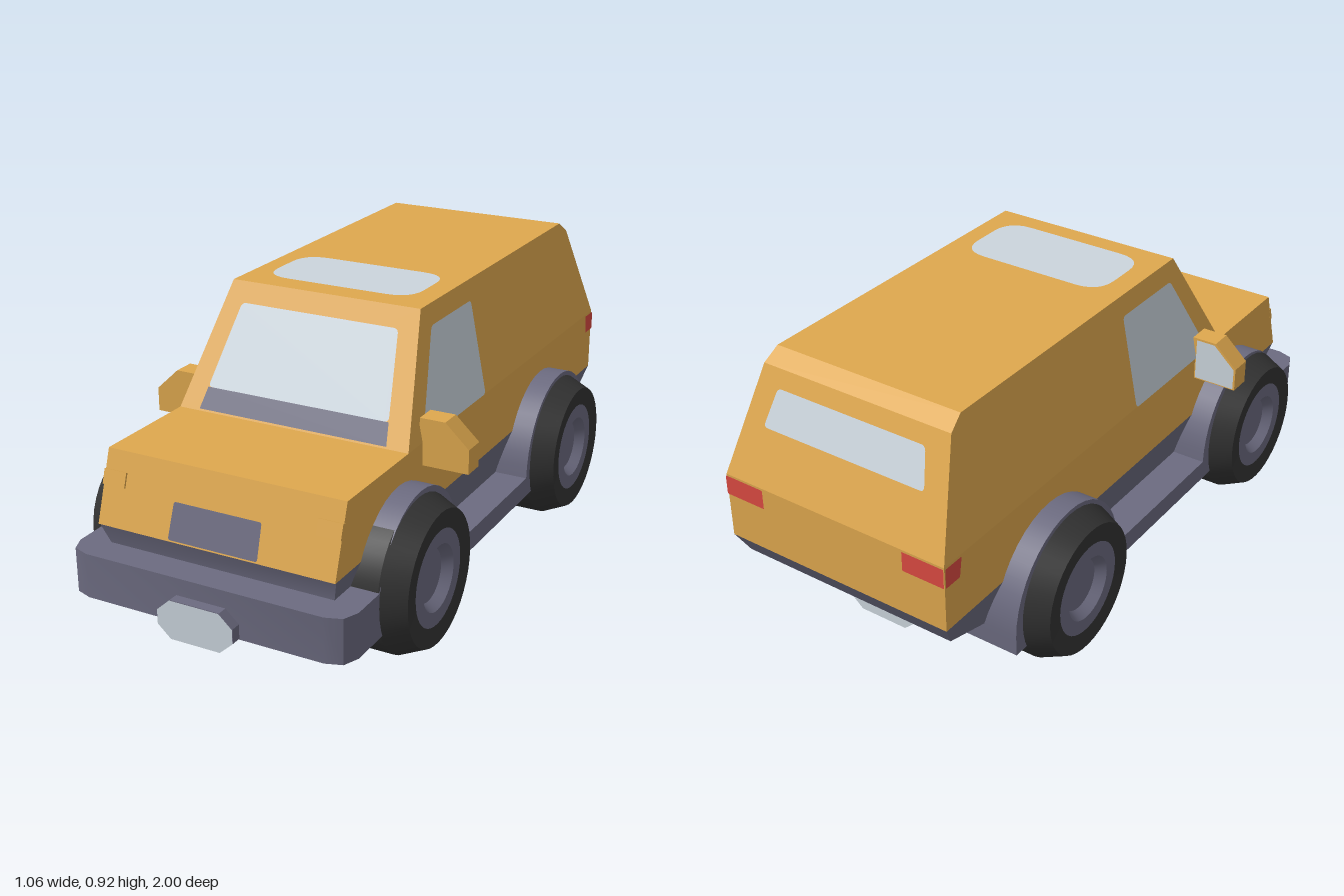
import * as THREE from 'three';
import { toCreasedNormals } from 'three/addons/utils/BufferGeometryUtils.js';

const material = (name, color) => {
  const m = new THREE.MeshStandardMaterial({ color });
  m.name = name;
  return m;
};

export function createModel() {
  const orange = material('orange paint', 0xdfa84e);
  const grey = material('grey trim', 0x6c6b80);
  const glass = material('pale glass', 0xcbd5dd);
  const black = material('tyre black', 0x333333);
  const red = material('lamp red', 0xdb4a42);

  const car = new THREE.Group();
  car.name = 'car';
  const add = (name, geometry, mat, parent = car) => {
    const mesh = new THREE.Mesh(geometry, mat);
    mesh.name = name;
    parent.add(mesh);
    return mesh;
  };
  const shapeOf = (pts) => new THREE.Shape(pts.map(([x, y]) => new THREE.Vector2(x, y)));
  const extrude = (shape, depth) => new THREE.ExtrudeGeometry(shape, { depth, bevelEnabled: false });

  // Side profile of (z, y) points spread across x to a half width that depends on y
  const slab = (name, profile, halfWidth, mat) => {
    const g = extrude(shapeOf(profile), 2).translate(0, 0, -1).rotateY(-Math.PI / 2);
    const p = g.attributes.position;
    for (let i = 0; i < p.count; i++) p.setX(i, Math.sign(p.getX(i)) * halfWidth(p.getY(i)));
    return add(name, toCreasedNormals(g, 0.5), mat);
  };

  // Flat face with rounded corners laid just above a surface; corners run anticlockwise from outside
  const plate = (name, corners, radius, mat, lift = 0.004) => {
    const v = corners.map((c) => new THREE.Vector3(...c));
    const u = v[1].clone().sub(v[0]).normalize();
    const n = u.clone().cross(v[2].clone().sub(v[0])).normalize();
    const w = n.clone().cross(u);
    const flat = v.map((q) => {
      const d = q.clone().sub(v[0]);
      return new THREE.Vector2(d.dot(u), d.dot(w));
    });
    const shape = new THREE.Shape();
    flat.forEach((c, i) => {
      const toward = (o) => c.clone().add(o.clone().sub(c).setLength(radius));
      const a = toward(flat[(i + flat.length - 1) % flat.length]);
      const b = toward(flat[(i + 1) % flat.length]);
      if (i) shape.lineTo(a.x, a.y);
      else shape.moveTo(a.x, a.y);
      shape.quadraticCurveTo(c.x, c.y, b.x, b.y);
    });
    shape.closePath();
    const origin = v[0].clone().addScaledVector(n, lift);
    const basis = new THREE.Matrix4().makeBasis(u, w, n).setPosition(origin);
    return add(name, new THREE.ShapeGeometry(shape, 6).applyMatrix4(basis), mat);
  };
  const bothSides = (name, corners, radius, mat) => {
    plate('left ' + name, corners, radius, mat);
    plate('right ' + name, corners.map(([x, y, z]) => [-x, y, z]).reverse(), radius, mat);
  };

  // Slopes of the bodywork
  const cabinX = (y) => 0.385 - (y - 0.56) * 0.197;
  const screenZ = (y) => 0.475 - (y - 0.56) * 0.592;
  const rearZ = (y) => -1 + (y - 0.56) * 0.406;
  const noseZ = (y) => 0.9 - (y - 0.35) * 0.333;

  // Painted body and cabin
  slab('lower body', [[0.9, 0.35], [0.83, 0.56], [-1, 0.56], [-1, 0.35]], () => 0.385, orange);
  slab('cabin', [[0.475, 0.56], [0.265, 0.915], [-0.82, 0.915], [-0.87, 0.88], [-1, 0.56]], cabinX, orange);

  // Grey skirt tucked in below the paint
  slab('skirt', [[0.895, 0.35], [0.87, 0.28], [0.87, 0.2], [-0.78, 0.2], [-0.78, 0.21], [-0.96, 0.28], [-1, 0.35]],
    (y) => 0.385 - (0.35 - y) * 0.28, grey);

  // Chassis with sills and wheel arches
  const arch = (cz, rz) => {
    const pts = [];
    for (let i = 0; i <= 20; i++) {
      const a = (Math.PI * i) / 20;
      pts.push([cz + rz * Math.cos(a), 0.21 + 0.275 * Math.sin(a)]);
    }
    return pts;
  };
  slab('chassis', [[0.79, 0.145], ...arch(0.535, 0.255), ...arch(-0.517, 0.265), [-0.78, 0.145]], () => 0.455, grey);

  // Front bumper with rounded corners in plan
  const bumper = [[0.455, 0.6], [0.455, 0.9], [0.435, 0.948], [0.385, 0.965]];
  const bumperPlan = [...bumper, ...bumper.map(([x, z]) => [-x, z]).reverse()].map(([x, z]) => [x, -z]);
  add('front bumper', toCreasedNormals(
    extrude(shapeOf(bumperPlan), 0.138).rotateX(-Math.PI / 2).translate(0, 0.145, 0), 0.7), grey);

  // Blank number plates
  const octagon = [[-0.08, -0.06], [0.08, -0.06], [0.122, -0.022], [0.122, 0.022],
    [0.08, 0.06], [-0.08, 0.06], [-0.122, 0.022], [-0.122, -0.022]];
  const numberPlate = (name, y, z, turn) => {
    const g = new THREE.Group();
    g.name = name;
    add('plate backing', extrude(shapeOf(octagon), 0.045), grey, g);
    add('plate face', new THREE.ShapeGeometry(shapeOf(octagon)).translate(0, 0, 0.048), glass, g);
    g.position.set(0, y, z);
    g.rotation.y = turn;
    car.add(g);
  };
  numberPlate('front plate', 0.17, 0.952, 0);
  numberPlate('rear plate', 0.15, -0.765, Math.PI);

  // Windows and painted details
  const band = (x0, y0, x1, y1, z) => [[-x0, y0, z(y0)], [x0, y0, z(y0)], [x1, y1, z(y1)], [-x1, y1, z(y1)]];
  plate('windscreen', band(0.304, 0.625, 0.263, 0.857, screenZ), 0.015, glass);
  plate('wiper panel', band(0.315, 0.565, 0.304, 0.625, screenZ), 0.001, grey);
  plate('grille', band(0.145, 0.355, 0.142, 0.458, noseZ), 0.008, grey);
  plate('rear window', band(-0.28, 0.72, -0.255, 0.83, rearZ), 0.015, glass);
  plate('sunroof', [[-0.25, 0.915, 0.195], [0.25, 0.915, 0.195], [0.25, 0.915, -0.058], [-0.25, 0.915, -0.058]], 0.085, glass);
  const side = (z, y) => [cabinX(y), y, z];
  bothSides('side window', [side(0.39, 0.562), side(-0.05, 0.562), side(-0.05, 0.855), side(0.225, 0.855)], 0.015, glass);
  bothSides('tail lamp side', [[0.385, 0.495, -0.94], [0.385, 0.495, -1.0], [0.385, 0.557, -1.0], [0.385, 0.557, -0.93]], 0.004, red);
  bothSides('tail lamp back', [[0.385, 0.495, -1], [0.247, 0.495, -1], [0.247, 0.557, -1], [0.385, 0.557, -1]], 0.003, red);

  for (const s of [1, -1]) {
    const sideName = s > 0 ? 'left' : 'right';

    // Slim headlamp lid on the nose
    const lid = add(sideName + ' headlamp lid', new THREE.BoxGeometry(0.075, 0.045, 0.012), orange);
    lid.position.set(s * 0.348, 0.482, noseZ(0.482));
    lid.rotation.x = -0.32;

    // Door mirror with its glass facing back
    const outline = shapeOf([[0.375, 0.49], [0.53, 0.49], [0.53, 0.565], [0.455, 0.635], [0.375, 0.635]]
      .map(([x, y]) => [s * x, y]));
    add(sideName + ' mirror', extrude(outline, 0.07).translate(0, 0, 0.315), orange);
    const face = shapeOf([[-0.39, 0.495], [-0.525, 0.495], [-0.525, 0.563], [-0.453, 0.63], [-0.39, 0.63]]
      .map(([x, y]) => [s * x, y]));
    add(sideName + ' mirror glass', new THREE.ShapeGeometry(face).rotateY(Math.PI).translate(0, 0, 0.312), glass);
  }

  // Wheels: radius and distance from the centre line
  const lathe = (pts) => toCreasedNormals(
    new THREE.LatheGeometry(pts.map(([r, x]) => new THREE.Vector2(r, x)), 40).rotateZ(-Math.PI / 2), 0.3);
  const tyre = lathe([[0, 0.25], [0.2, 0.25], [0.237, 0.33], [0.237, 0.45], [0.203, 0.525], [0.145, 0.52]]);
  const rim = lathe([[0.145, 0.52], [0.1, 0.52], [0.08, 0.49], [0, 0.49]]);
  for (const [end, z] of [['front', 0.55], ['rear', -0.515]]) {
    for (const turn of [0, Math.PI]) {
      const wheel = new THREE.Group();
      wheel.name = `${end} ${turn ? 'right' : 'left'} wheel`;
      add('tyre', tyre, black, wheel);
      add('rim', rim, grey, wheel);
      wheel.position.set(0, 0.237, z);
      wheel.rotation.y = turn;
      car.add(wheel);
    }
  }
  return car;
}
